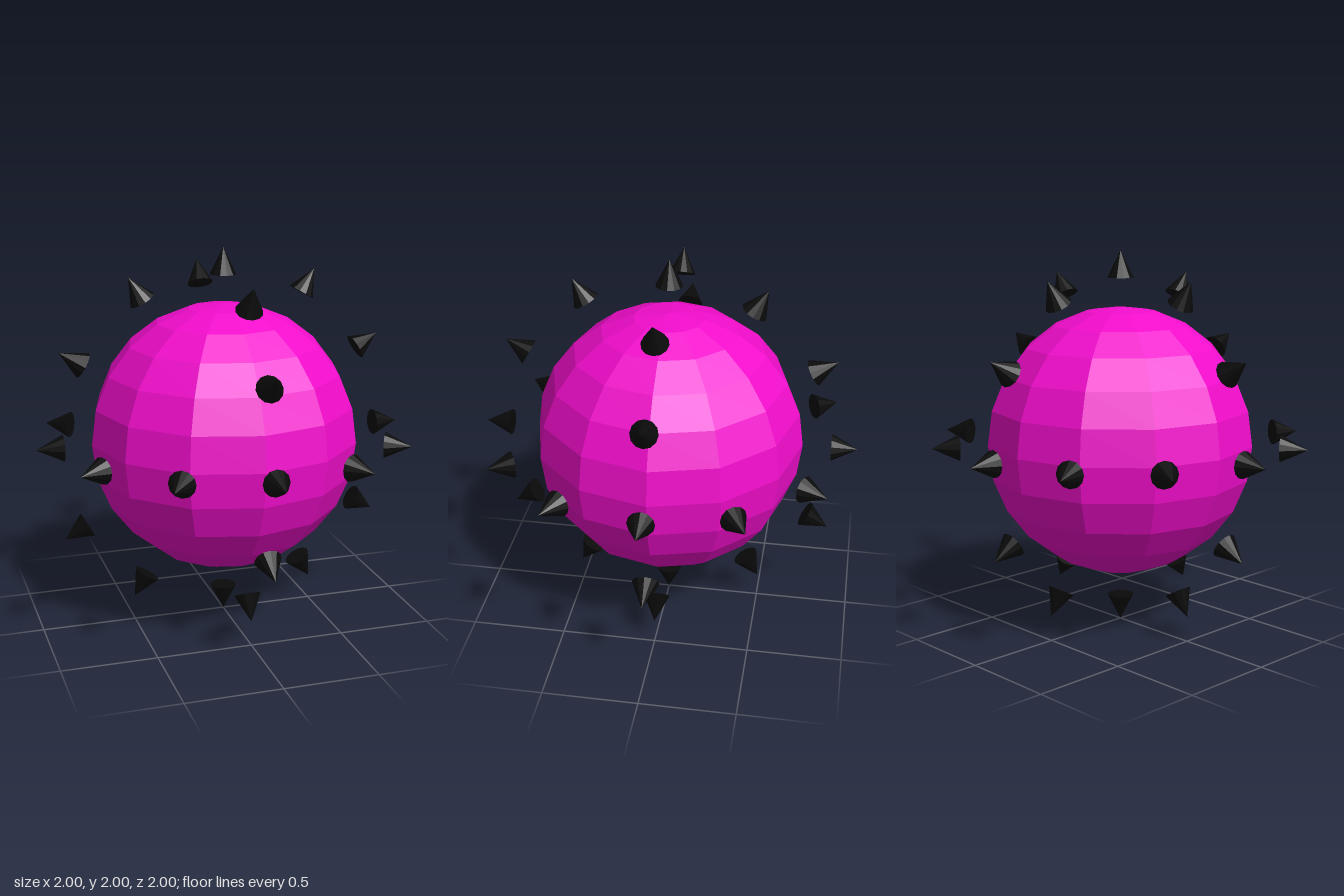
import * as THREE from 'three';

export function createModel() {
  const model = new THREE.Group();
  model.name = 'spikedBall';

  // Faceted ball, vertices every 30 degrees around and 15 degrees in height
  const bodyMat = new THREE.MeshStandardMaterial({ color: 0xf20dcc, flatShading: true });
  const body = new THREE.Mesh(new THREE.SphereGeometry(0.71, 12, 12), bodyMat);
  body.name = 'body';
  body.position.y = 1;
  model.add(body);

  // Small cones floating around the ball, pointing outward with tips at radius 1
  const height = 0.14;
  const spikeMat = new THREE.MeshStandardMaterial({ color: 0x0a0a0a, flatShading: true });
  const spikeGeo = new THREE.ConeGeometry(0.07, height, 12);
  spikeGeo.translate(0, 1 - height / 2, 0);
  const spikes = new THREE.Group();
  spikes.name = 'spikes';
  spikes.position.y = 1;
  model.add(spikes);

  const up = new THREE.Vector3(0, 1, 0);
  function addSpike(x, y, z) {
    const spike = new THREE.Mesh(spikeGeo, spikeMat);
    spike.name = 'spike';
    spike.quaternion.setFromUnitVectors(up, new THREE.Vector3(x, y, z).normalize());
    spikes.add(spike);
  }

  // Three crossing rings of twelve; the six shared axis spikes are added once
  for (let i = 0; i < 12; i++) {
    const a = (i * Math.PI) / 6;
    const c = Math.cos(a), s = Math.sin(a);
    addSpike(c, s, 0);
    if (i % 6 !== 0) addSpike(c, 0, s);
    if (i % 3 !== 0) addSpike(0, c, s);
  }
  return model;
}
